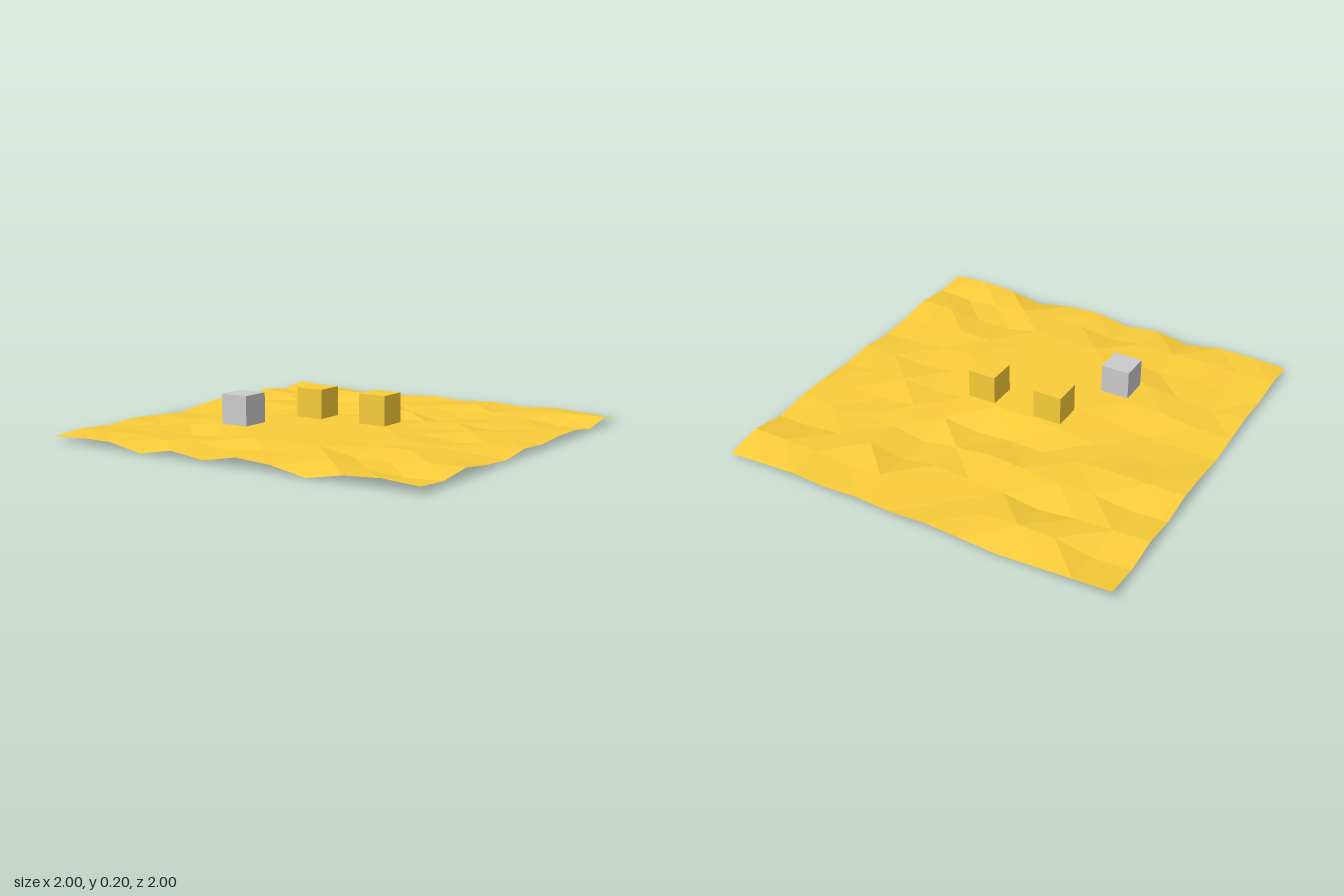
import * as THREE from 'three';

const CELLS = 11;
const STEP = 2 / CELLS;

// Ground relief, back row first; each digit is a height level
const RELIEF = [
  '432123232321',
  '214432342444',
  '432023414311',
  '213345303323',
  '444322134233',
  '322245543432',
  '111355554233',
  '224555555321',
  '313555554432',
  '223245552244',
  '334342444212',
  '233031430343',
];
const heightAt = (i, j) => Number(RELIEF[j][i]) * 0.011;

// Faceted ground sheet; each cell is split along its shorter diagonal
function groundGeometry() {
  const positions = [];
  const index = [];
  for (let j = 0; j <= CELLS; j++) {
    for (let i = 0; i <= CELLS; i++) {
      positions.push(-1 + i * STEP, heightAt(i, j), -1 + j * STEP);
    }
  }
  for (let j = 0; j < CELLS; j++) {
    for (let i = 0; i < CELLS; i++) {
      const a = j * (CELLS + 1) + i;
      const b = a + 1;
      const c = a + CELLS + 1;
      const d = c + 1;
      const fall = Math.abs(heightAt(i, j) - heightAt(i + 1, j + 1));
      const rise = Math.abs(heightAt(i + 1, j) - heightAt(i, j + 1));
      if (fall < rise) index.push(a, c, d, a, d, b);
      else index.push(a, c, b, b, c, d);
    }
  }
  const geometry = new THREE.BufferGeometry();
  geometry.setAttribute('position', new THREE.Float32BufferAttribute(positions, 3));
  geometry.setIndex(index);
  geometry.computeVertexNormals();
  return geometry;
}

export function createModel() {
  const model = new THREE.Group();
  model.name = 'sandGroundWithCubes';

  const sand = new THREE.MeshStandardMaterial({
    color: 0xf9cc39, flatShading: true, side: THREE.DoubleSide,
  });
  const yellow = new THREE.MeshStandardMaterial({ color: 0xf9cc39 });
  const grey = new THREE.MeshStandardMaterial({ color: 0xcccccc });

  const ground = new THREE.Mesh(groundGeometry(), sand);
  ground.name = 'ground';
  model.add(ground);

  // Three equal cubes resting on the level middle of the ground
  const size = 0.146;
  const cubeGeometry = new THREE.BoxGeometry(size, size, size);
  const addCube = (name, x, z, material) => {
    const cube = new THREE.Mesh(cubeGeometry, material);
    cube.name = name;
    cube.position.set(x, 0.055 + size / 2, z);
    model.add(cube);
  };
  addCube('rightYellowCube', -0.183, 0, yellow);
  addCube('leftYellowCube', 0.182, 0, yellow);
  addCube('greyCube', -0.365, 0.365, grey);

  return model;
}
